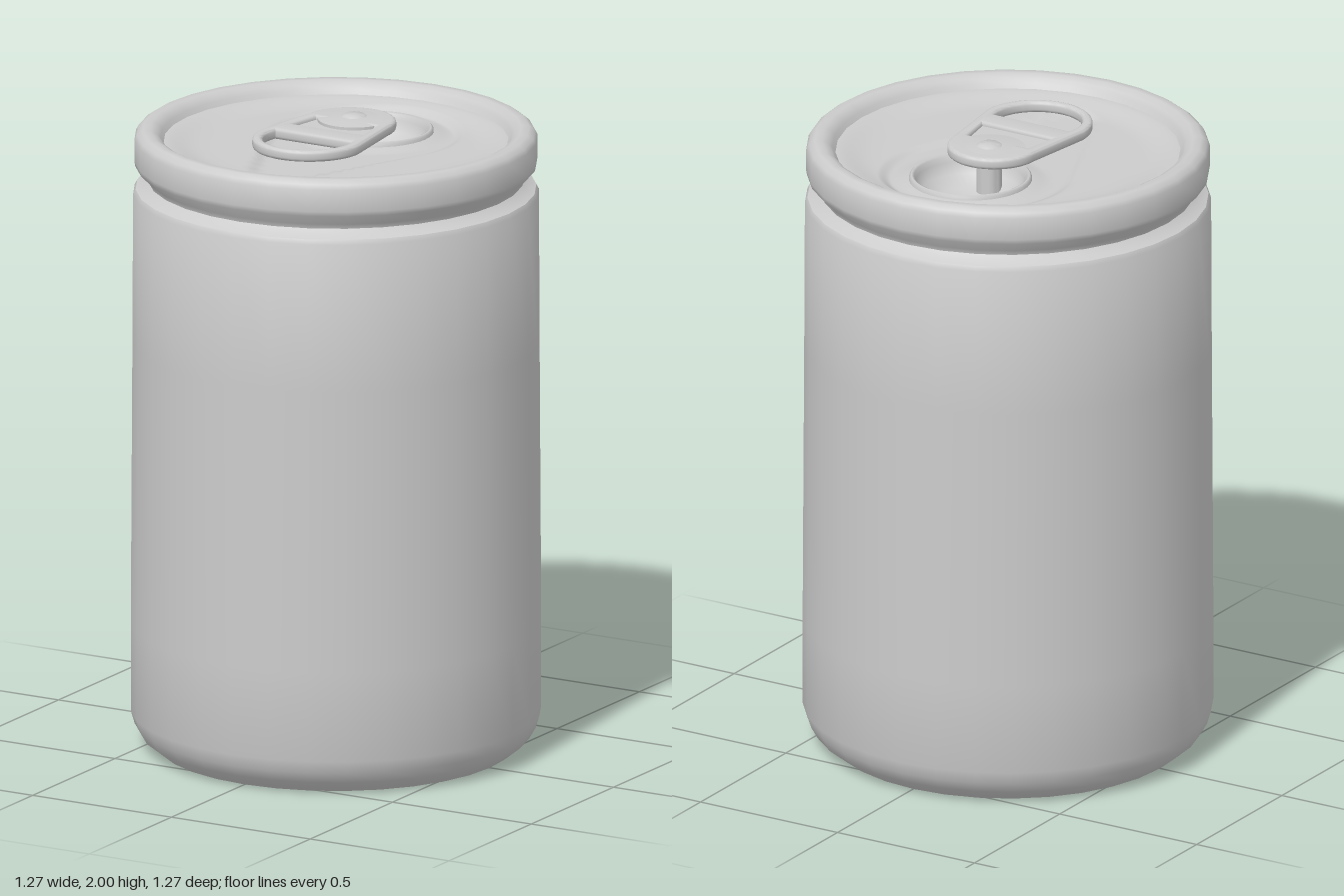
import * as THREE from 'three';
import { toCreasedNormals } from 'three/addons/utils/BufferGeometryUtils.js';
import { ParametricGeometry } from 'three/addons/geometries/ParametricGeometry.js';

const material = new THREE.MeshStandardMaterial({ color: 0xcccccc, roughness: 0.6, side: THREE.DoubleSide });
const LID_Y = 1.92, LID_R = 0.535, OPEN_Z = -0.22, OPEN_R = 0.175;

function add(group, name, geometry, x = 0, y = 0, z = 0) {
  const mesh = new THREE.Mesh(geometry, material);
  mesh.name = name;
  mesh.position.set(x, y, z);
  group.add(mesh);
  return mesh;
}

function lathe(points, segments, crease) {
  const geo = new THREE.LatheGeometry(points.map(([r, y]) => new THREE.Vector2(r, y)), segments);
  return crease ? toCreasedNormals(geo, crease) : geo;
}

// Signed distance to the teardrop panel: a large circle tapering to a small one
function panelDistance(x, z) {
  const r1 = 0.29, r2 = 0.08, z1 = -0.18, h = 0.54;
  const px = Math.abs(x), py = z - z1;
  const b = (r1 - r2) / h, a = Math.sqrt(1 - b * b);
  const k = -b * px + a * py;
  if (k < 0) return Math.hypot(px, py) - r1;
  if (k > a * h) return Math.hypot(px, py - h) - r2;
  return px * a + py * b - r1;
}

// Lid height: raised edge fillet, recessed panel, soft rise around the opening
function lidHeight(x, z) {
  const edge = THREE.MathUtils.smoothstep(Math.hypot(x, z), 0.38, LID_R);
  const panel = 1 - THREE.MathUtils.smoothstep(panelDistance(x, z), -0.02, 0.02);
  const mound = 1 - THREE.MathUtils.smoothstep(Math.hypot(x, z - OPEN_Z), OPEN_R, 0.25);
  return LID_Y + 0.02 * edge * edge - 0.014 * panel + 0.012 * mound;
}

// Lid sheet swept from the opening's edge out to the rim wall
function lidGeometry() {
  return new ParametricGeometry((u, v, target) => {
    const a = u * Math.PI * 2, c = Math.cos(a), s = Math.sin(a);
    const r = THREE.MathUtils.lerp(OPEN_R, LID_R, v);
    const x = r * c, z = r * s + OPEN_Z * (1 - v);
    target.set(x, lidHeight(x, z), z);
  }, 80, 36);
}

// Extrudes a plan drawn in x, z downwards from its top face
function plate(shape, thickness, bevel) {
  const geo = new THREE.ExtrudeGeometry(shape, {
    depth: thickness - 2 * bevel, bevelEnabled: bevel > 0, bevelSize: bevel,
    bevelThickness: bevel, bevelOffset: -bevel, bevelSegments: 3, curveSegments: 20,
  });
  geo.translate(0, 0, bevel).rotateX(Math.PI / 2);
  return toCreasedNormals(geo, 0.7);
}

function polygon(points, Type = THREE.Shape) {
  return new Type(points.map(([x, z]) => new THREE.Vector2(x, z)));
}

function pullTab() {
  const tab = new THREE.Group();
  tab.name = 'pullTab';

  // Outer frame, rounded at both ends
  const outline = new THREE.Shape();
  outline.absarc(0, 0.16, 0.178, 0, Math.PI, false);
  outline.absarc(0, -0.08, 0.146, Math.PI, Math.PI * 2, false);
  outline.closePath();

  // Finger hole and the window behind the nose
  const finger = new THREE.Path();
  finger.moveTo(-0.138, 0.135);
  finger.lineTo(0.138, 0.135);
  finger.absarc(0, 0.168, 0.142, 0, Math.PI, false);
  finger.closePath();
  const window = polygon([[-0.108, -0.06], [0.108, -0.06], [0.128, 0.055], [-0.128, 0.055]], THREE.Path);
  outline.holes.push(finger, window);
  add(tab, 'tabFrame', plate(outline, 0.036, 0.011), 0, 1.99, 0);

  // Sunken plate in the window
  const web = polygon([[-0.115, -0.07], [0.115, -0.07], [0.135, 0.065], [-0.135, 0.065]]);
  add(tab, 'tabWeb', plate(web, 0.008, 0), 0, 1.976, 0);

  // Shallow nose disc and the rivet through it
  add(tab, 'tabNose', lathe([[0.113, 1.97], [0.113, 1.985], [0.06, 1.992], [0, 1.993]], 32, 0.6), 0, 0, -0.11);
  add(tab, 'rivet', lathe([[0.04, 1.84], [0.04, 1.992], [0.032, 1.998], [0, 2]], 24, 0.6), 0, 0, -0.11);
  return tab;
}

export function createModel() {
  const can = new THREE.Group();
  can.name = 'drinkCan';

  // Recessed base, foot ring, wall, neck and seam rim in one profile
  add(can, 'body', lathe([
    [0, 0.06], [0.52, 0.06], [0.535, 0.04], [0.545, 0.008], [0.555, 0], [0.57, 0.012], [0.605, 0.04],
    [0.625, 0.075], [0.637, 0.115], [0.637, 0.4], [0.632, 1.3], [0.63, 1.775],
    [0.622, 1.79], [0.6, 1.8], [0.583, 1.815], [0.588, 1.83], [0.623, 1.865],
    [0.626, 1.88], [0.626, 1.95], [0.618, 1.965], [0.6, 1.978], [0.575, 1.978],
    [0.555, 1.968], [0.545, 1.955], [LID_R, LID_Y + 0.02],
  ], 32, 0.65), 0, 0, 0);

  add(can, 'lid', lidGeometry());

  // Beaded edge and bowl of the drinking opening
  const y = LID_Y;
  add(can, 'opening', lathe([
    [0.192, y - 0.01], [0.19, y + 0.006], [0.183, y + 0.012], [0.175, y + 0.008],
    [0.17, y - 0.01], [0.155, y - 0.045], [0.11, y - 0.075], [0.05, y - 0.09], [0, y - 0.092],
  ], 40), 0, 0, OPEN_Z);

  can.add(pullTab());
  return can;
}
